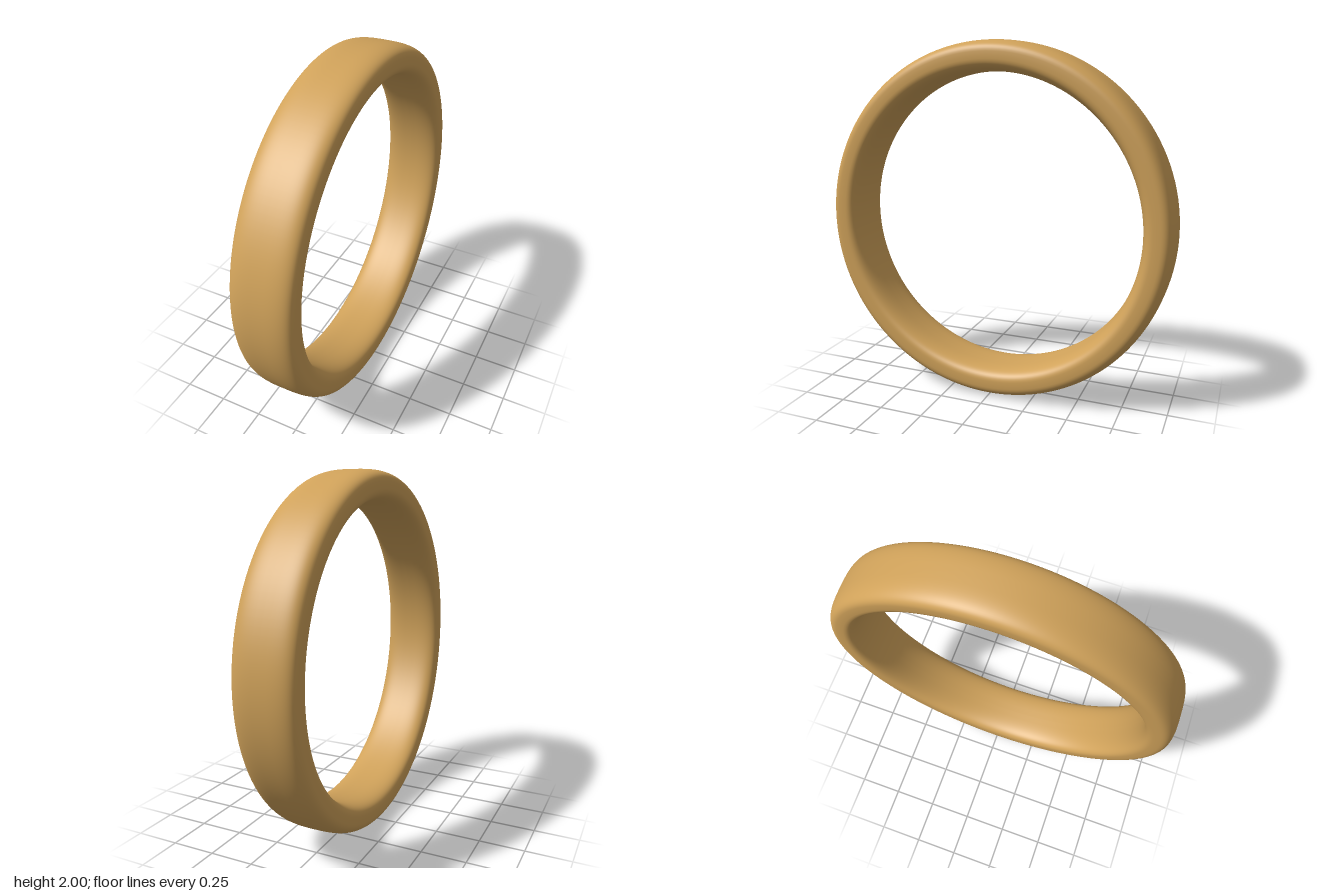
import * as THREE from 'three';

const MID_RADIUS = 0.917, HALF_THICK = 0.083, HALF_WIDTH = 0.172;
const SQUARENESS = 3.2, STEPS = 64;

// Rounded, softly domed cross-section, closed at the middle of the inner face
function bandProfile() {
  const bulge = (v) => Math.sign(v) * Math.abs(v) ** (2 / SQUARENESS);
  const points = [];
  for (let i = 0; i <= STEPS; i++) {
    const t = (i / STEPS) * Math.PI * 2;
    points.push(new THREE.Vector2(
      MID_RADIUS - HALF_THICK * bulge(Math.cos(t)),
      -HALF_WIDTH * bulge(i % (STEPS / 2) === 0 ? 0 : Math.sin(t))
    ));
  }
  return points;
}

export function createModel() {
  const model = new THREE.Group();
  model.name = 'ring';

  // Band turned around the x axis, standing on its rim
  const geometry = new THREE.LatheGeometry(bandProfile(), 160);
  geometry.rotateZ(Math.PI / 2);
  const band = new THREE.Mesh(geometry, new THREE.MeshStandardMaterial({ color: 0xd0a25a }));
  band.name = 'band';
  band.position.y = 1;
  model.add(band);
  return model;
}
